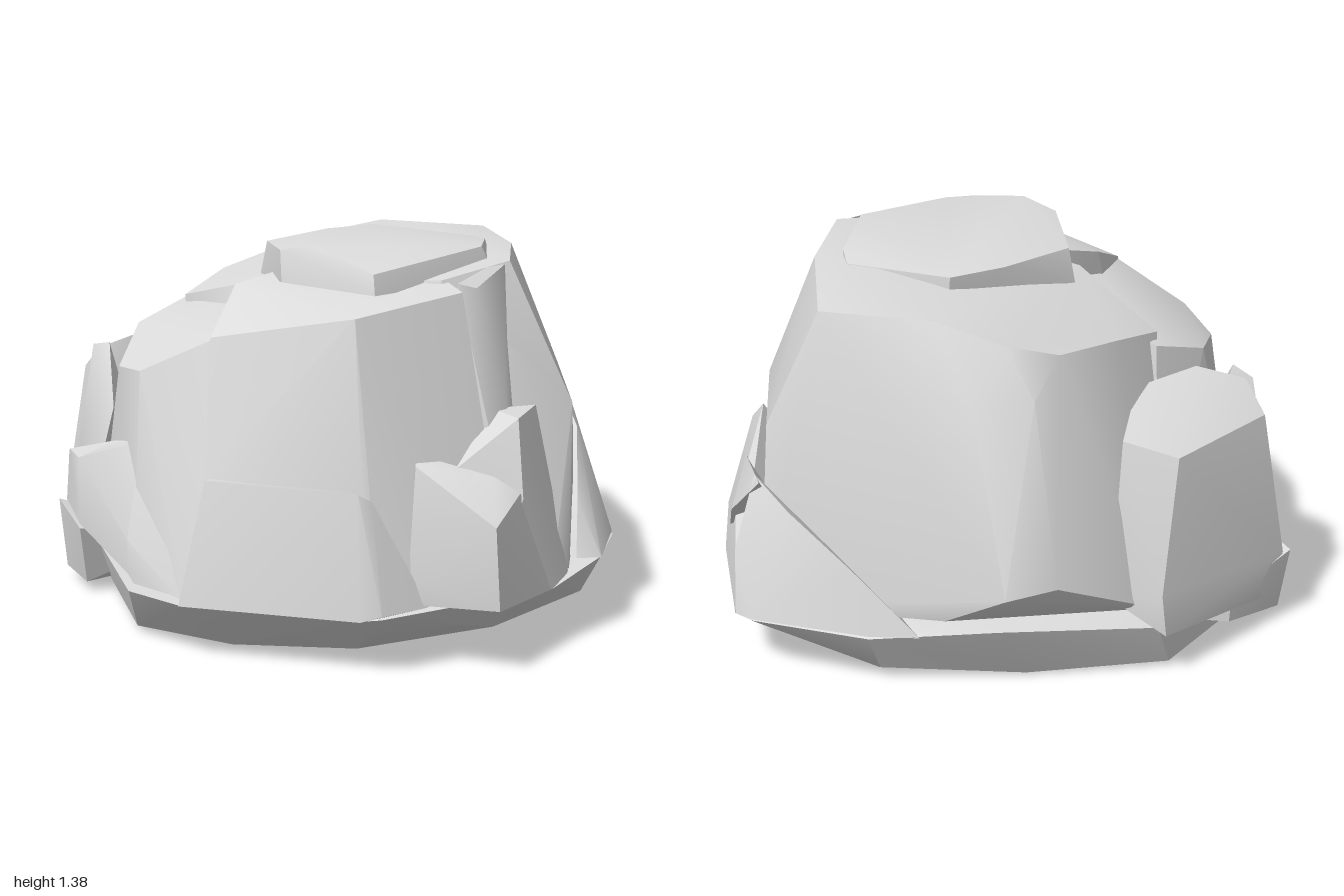
import * as THREE from 'three';
import { ConvexGeometry } from 'three/addons/geometries/ConvexGeometry.js';
import { toCreasedNormals } from 'three/addons/utils/BufferGeometryUtils.js';

// Each chunk of the boulder is the hull of a few corner points [x, y, z].
const chunks = {
  // undercut foot that the boulder stands on
  foot: [
    [0.98, 0.2, -0.5], [0.98, 0.2, 0], [0.95, 0.26, 0.25], [0.8, 0.27, 0.55], [0.57, 0.22, 0.72],
    [-0.08, 0.21, 0.9], [-0.15, 0.2, 0.87], [-0.7, 0.2, 0.57], [-0.85, 0.2, 0.36], [-0.88, 0.2, -0.4],
    [-0.44, 0.2, -0.85], [0.12, 0.25, -0.88], [0.55, 0.21, -0.78], [0.93, 0.22, -0.6],
    [0.8, 0.08, 0.34], [0.8, 0.08, -0.4], [0.5, 0.04, -0.68], [0, 0.01, -0.75], [-0.5, 0.02, -0.77],
    [-0.82, 0.02, -0.45], [-0.8, 0.02, 0.2], [-0.5, 0, 0.42], [-0.1, 0.02, 0.62], [0.4, 0.05, 0.58],
  ],
  // tall core with the smooth sloping wall
  core: [
    [0.66, 1.3, -0.5], [0.62, 1.31, 0], [0.4, 1.33, -0.42], [0.5, 1.31, 0.38], [0.22, 1.27, 0.5],
    [-0.33, 1.21, 0.02], [-0.52, 1.1, -0.38], [-0.34, 1.16, -0.58], [-0.1, 1.2, -0.77],
    [0.08, 1.25, -0.79], [0.3, 1.31, -0.68], [0, 1.08, -0.86], [0.2, 1.05, -0.84],
    [0.84, 0.87, -0.42], [0.79, 0.87, 0.05], [0.7, 0.82, 0.5],
    [-0.06, 0.45, -0.98], [0.12, 0.43, -1], [0.3, 0.3, -0.86], [-0.44, 0.25, -0.8],
    [0.89, 0.22, -0.5], [0.8, 0.22, 0.25], [0.66, 0.22, 0.62], [0.57, 0.22, 0.7], [-0.5, 0.2, 0.4],
  ],
  // front face slab, with a rim that rises towards the top
  frontSlab: [
    [-0.56, 1.09, 0.41], [-0.42, 1.22, 0.12], [-0.28, 1.25, 0.08], [-0.14, 1.2, 0.76],
    [0.26, 1.25, 0.63], [0.24, 1.27, 0.4], [-0.6, 0.64, 0.52], [-0.13, 0.64, 0.82], [0.34, 0.7, 0.69],
    [-0.68, 0.2, 0.55], [-0.14, 0.2, 0.85], [-0.08, 0.22, 0.87], [0.36, 0.21, 0.75], [0.1, 0.2, 0.3],
  ],
  // slightly thicker lower panel of the front face
  frontPlinth: [
    [-0.61, 0.63, 0.55], [-0.15, 0.63, 0.85], [-0.1, 0.6, 0.84], [-0.71, 0.2, 0.57],
    [-0.15, 0.2, 0.88], [-0.08, 0.22, 0.9], [0.1, 0.22, 0.83], [-0.4, 0.63, 0.4], [-0.4, 0.2, 0.4],
  ],
  // narrow rib beside the front slab
  frontRib: [
    [0.26, 1.27, 0.57], [0.33, 1.25, 0.56], [0.42, 0.85, 0.62], [0.33, 0.85, 0.68], [0.25, 0.7, 0.6],
    [0.45, 0.3, 0.74], [0.48, 1.3, 0.39], [0.4, 1.3, 0.44], [0.5, 0.6, 0.5],
  ],
  // ledge on the front corner and the pointed wedge in front of it
  frontCorner: [
    [0.42, 0.84, 0.77], [0.54, 0.84, 0.58], [0.38, 0.84, 0.6], [0.42, 0.58, 0.84], [0.2, 0.68, 0.78],
    [0.66, 0.22, 0.63], [0.56, 0.22, 0.73], [0.3, 0.22, 0.85], [0.3, 0.3, 0.6],
  ],
  frontWedge: [
    [0.41, 0.6, 0.84], [0.28, 0.53, 1], [0.3, 0.24, 0.99], [0.06, 0.7, 0.79], [0.08, 0.72, 0.7],
    [0.32, 0.66, 0.83], [0.03, 0.32, 0.82], [0.08, 0.23, 0.84], [0.56, 0.22, 0.73], [0.4, 0.4, 0.5],
  ],
  // lower shoulder on the right hand side
  shoulder: [
    [-0.42, 1.13, 0.3], [-0.56, 1.08, 0.41], [-0.78, 0.95, 0.24], [-0.82, 0.92, 0], [-0.7, 1.01, -0.34],
    [-0.5, 1.08, -0.46], [-0.3, 1.12, -0.1], [-0.6, 0.64, 0.52], [-0.69, 0.22, 0.55], [-0.83, 0.22, 0.34],
    [-0.86, 0.25, -0.3], [-0.5, 0.25, -0.6], [-0.2, 0.25, 0],
  ],
  // slanted flake leaning on the shoulder
  sideFlake: [
    [-0.98, 0.35, -0.36], [-0.97, 0.55, -0.32], [-0.96, 0.57, -0.1], [-0.97, 0.34, -0.04],
    [-0.85, 0.38, 0.35], [-0.78, 0.7, 0.24], [-0.85, 0.67, 0.08], [-0.7, 0.22, 0.56],
    [-0.85, 0.26, 0.35], [-0.7, 0.4, 0],
  ],
  // small upright spur above the flake
  sideSpur: [
    [-0.86, 0.92, -0.42], [-0.81, 0.94, -0.34], [-0.9, 0.7, -0.24], [-0.83, 0.75, -0.1],
    [-0.9, 0.4, -0.2], [-0.7, 0.5, -0.3], [-0.92, 0.55, -0.45],
  ],
  // large block at the rear corner
  rearBlock: [
    [-0.88, 0.82, -0.52], [-0.84, 0.91, -0.4], [-0.5, 0.82, -0.82], [-0.32, 0.87, -0.76],
    [-0.42, 0.96, -0.52], [-0.66, 0.97, -0.4], [-0.96, 0.3, -0.56], [-0.9, 0.3, -0.3],
    [-0.44, 0.34, -0.89], [-0.28, 0.3, -0.8], [-0.46, 0.18, -0.88], [-0.94, 0.12, -0.53],
  ],
  // low ledge under the rear block
  rearLedge: [
    [-0.99, 0.3, -0.55], [-0.97, 0.05, -0.5], [-0.92, 0.04, -0.3], [-0.95, 0.27, -0.22],
    [-0.75, 0.08, -0.64], [-0.75, 0.2, -0.66], [-0.5, 0.05, -0.5], [-0.5, 0.2, -0.3],
  ],
  // bulge low on the smooth wall
  wallBulge: [
    [0.83, 0.83, -0.15], [0.86, 0.72, 0], [0.82, 0.66, 0.2], [0.74, 0.46, 0.46], [0.7, 0.28, 0.58],
    [0.8, 0.27, 0.56], [0.95, 0.27, 0.24], [0.98, 0.2, 0], [0.98, 0.2, -0.5], [0.95, 0.52, -0.3],
    [0.5, 0.3, 0],
  ],
  // rear corner flank with a raised spur
  cornerFlank: [
    [0.89, 0.7, -0.45], [0.79, 0.62, -0.6], [0.97, 0.45, -0.5], [0.98, 0.22, -0.54], [0.93, 0.23, -0.61],
    [0.55, 0.22, -0.78], [0.38, 0.22, -0.82], [0.6, 0.45, -0.72], [0.6, 0.3, -0.2],
  ],
  wallSpur: [
    [0.9, 0.66, -0.2], [0.92, 0.62, -0.42], [0.88, 0.7, -0.52], [0.97, 0.54, -0.38],
    [0.97, 0.42, -0.25], [0.8, 0.5, -0.3],
  ],
  // thin slab lying on top, running into the core at the rear
  cap: [
    [-0.28, 1.35, 0.22], [-0.18, 1.38, 0.32], [-0.03, 1.31, 0.56], [0.1, 1.37, 0.38], [0.42, 1.35, 0.3],
    [0.52, 1.33, 0], [0.52, 1.32, -0.12], [0.2, 1.34, -0.37], [0, 1.34, -0.3], [-0.26, 1.33, -0.12],
    [-0.28, 1.24, 0.24], [-0.03, 1.24, 0.58], [0.48, 1.24, 0.28], [0.53, 1.24, -0.12],
    [0.2, 1.24, -0.36], [-0.28, 1.2, -0.15],
  ],
};

export function createModel() {
  const stone = new THREE.MeshStandardMaterial({ color: 0xdddddd });
  stone.name = 'pale grey stone';
  const boulder = new THREE.Group();
  boulder.name = 'boulder';
  for (const [name, corners] of Object.entries(chunks)) {
    const hull = new ConvexGeometry(corners.map((p) => new THREE.Vector3(...p)));
    const mesh = new THREE.Mesh(toCreasedNormals(hull, 0.6), stone);
    mesh.name = name;
    boulder.add(mesh);
  }
  return boulder;
}
